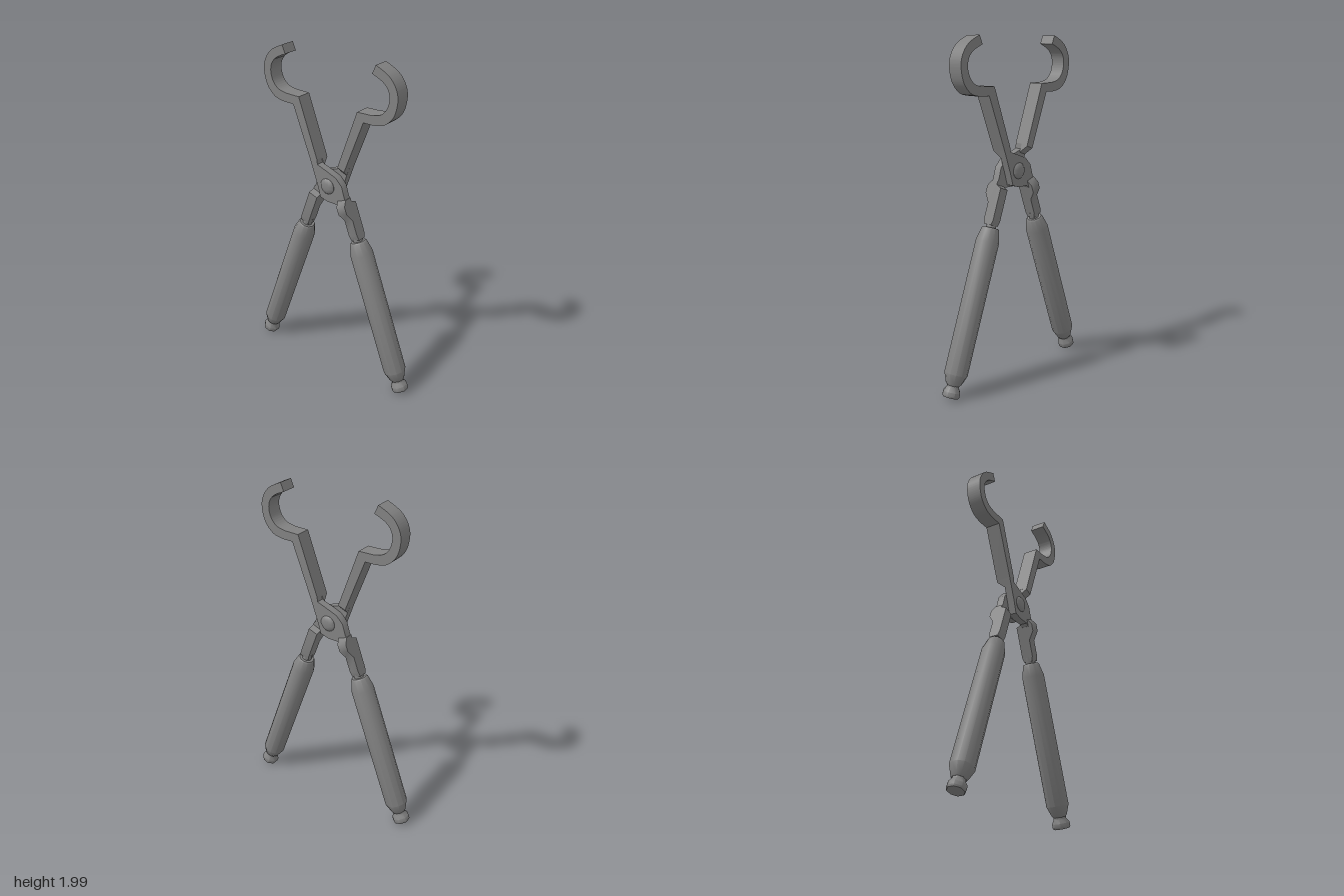
import * as THREE from 'three';
import { toCreasedNormals } from 'three/addons/utils/BufferGeometryUtils.js';

const PIVOT_Y = 1.245;
const TILT = THREE.MathUtils.degToRad(20);
const metal = new THREE.MeshStandardMaterial({ color: 0x828282 });
const vecs = (pts) => pts.map(([a, b]) => new THREE.Vector2(a, b));

function mesh(name, geometry, crease = 0.6) {
  const m = new THREE.Mesh(toCreasedNormals(geometry, crease), metal);
  m.name = name;
  return m;
}

function extrude(shape, depth) {
  return new THREE.ExtrudeGeometry(shape, { depth, bevelEnabled: false, curveSegments: 20 });
}

// Side outline drawn in (z, y), given thickness from x0 to x1
function sidePlate(name, shape, x0, x1) {
  const g = extrude(shape, x1 - x0);
  g.rotateY(-Math.PI / 2);
  g.translate(x1, 0, 0);
  return mesh(name, g);
}

// Turned part with its flats facing the axes
function lathe(name, profile, sides, crease) {
  const g = new THREE.LatheGeometry(vecs(profile), sides, Math.PI / sides);
  return mesh(name, g, crease);
}

function createHalf() {
  const half = new THREE.Group();

  // Straight jaw bar ending in a curved hook
  const jaw = new THREE.Shape();
  jaw.moveTo(0.119, 1.372);
  jaw.lineTo(0.238, 1.68);
  jaw.lineTo(0.30, 1.68);
  jaw.splineThru(vecs([[0.37, 1.697], [0.425, 1.755], [0.445, 1.84],
    [0.43, 1.905], [0.385, 1.96], [0.307, 2.0]]));
  jaw.lineTo(0.286, 1.952);
  jaw.splineThru(vecs([[0.35, 1.922], [0.385, 1.885], [0.395, 1.835],
    [0.378, 1.78], [0.34, 1.745], [0.285, 1.732]]));
  jaw.lineTo(0.197, 1.73);
  jaw.lineTo(0.0735, 1.39);
  jaw.closePath();
  half.add(sidePlate('hookedJaw', jaw, -0.045, 0.045));

  // Half-thickness plate that overlaps its twin at the pivot
  const hub = new THREE.Shape(vecs([
    [0.119, 1.372], [0.0735, 1.39], [0.07, 1.36], [0, 1.335], [-0.06, 1.312],
    [-0.1, 1.27], [-0.118, 1.21], [-0.143, 1.155], [-0.085, 1.135],
    [-0.07, 1.15], [0, 1.15], [0.05, 1.165], [0.072, 1.24],
  ]));
  half.add(sidePlate('pivotPlate', hub, 0, 0.045));

  // Parts laid out along the tilted arm: local y runs along it
  const arm = new THREE.Group();
  arm.name = 'arm';
  arm.position.y = PIVOT_Y;
  arm.rotation.x = TILT;
  half.add(arm);

  const ramp = mesh('jawRamp', extrude(new THREE.Shape(vecs([
    [0, 0.162], [-0.045, 0.162], [-0.045, 0.15], [0, 0.11],
  ])), 0.048));
  ramp.position.z = 0.02;
  arm.add(ramp);

  // Neck block: stepped on the inner side, bulging on the outer side
  const neck = mesh('neck', extrude(new THREE.Shape(vecs([
    [0, -0.09], [0, -0.11], [-0.035, -0.125], [-0.035, -0.31], [-0.026, -0.34],
    [0.026, -0.34], [0.035, -0.31], [0.035, -0.215], [0.07, -0.165],
    [0.07, -0.122], [0.045, -0.09],
  ])), 0.06), 0.7);
  neck.position.z = -0.105;
  arm.add(neck);

  const handle = new THREE.Group();
  handle.name = 'handle';
  handle.position.z = -0.071;
  arm.add(handle);
  const tang = mesh('tang', new THREE.CylinderGeometry(0.029, 0.029, 0.07, 12));
  tang.position.y = -0.35;
  handle.add(tang);
  handle.add(lathe('grip', [
    [0, -1.262], [0.036, -1.262], [0.046, -1.25], [0.067, -1.195],
    [0.067, -0.43], [0.05, -0.36], [0.044, -0.353], [0, -0.353],
  ], 12));
  handle.add(lathe('endKnob', [
    [0, -1.328], [0.047, -1.328], [0.052, -1.318], [0.052, -1.296],
    [0.037, -1.272], [0.037, -1.25], [0, -1.25],
  ], 8, 0.85));

  // Domed rivet head
  const rivet = lathe('rivetHead', [
    [0, 0], [0.047, 0], [0.047, 0.046], [0.037, 0.056], [0.02, 0.06], [0, 0.061],
  ], 16);
  rivet.rotation.z = -Math.PI / 2;
  rivet.position.y = PIVOT_Y;
  half.add(rivet);
  return half;
}

export function createModel() {
  const model = new THREE.Group();
  model.name = 'tongs';
  // Two identical halves, turned half a revolution about the vertical
  ['firstHalf', 'secondHalf'].forEach((name, i) => {
    const half = createHalf();
    half.name = name;
    half.rotation.y = i * Math.PI;
    model.add(half);
  });
  return model;
}
